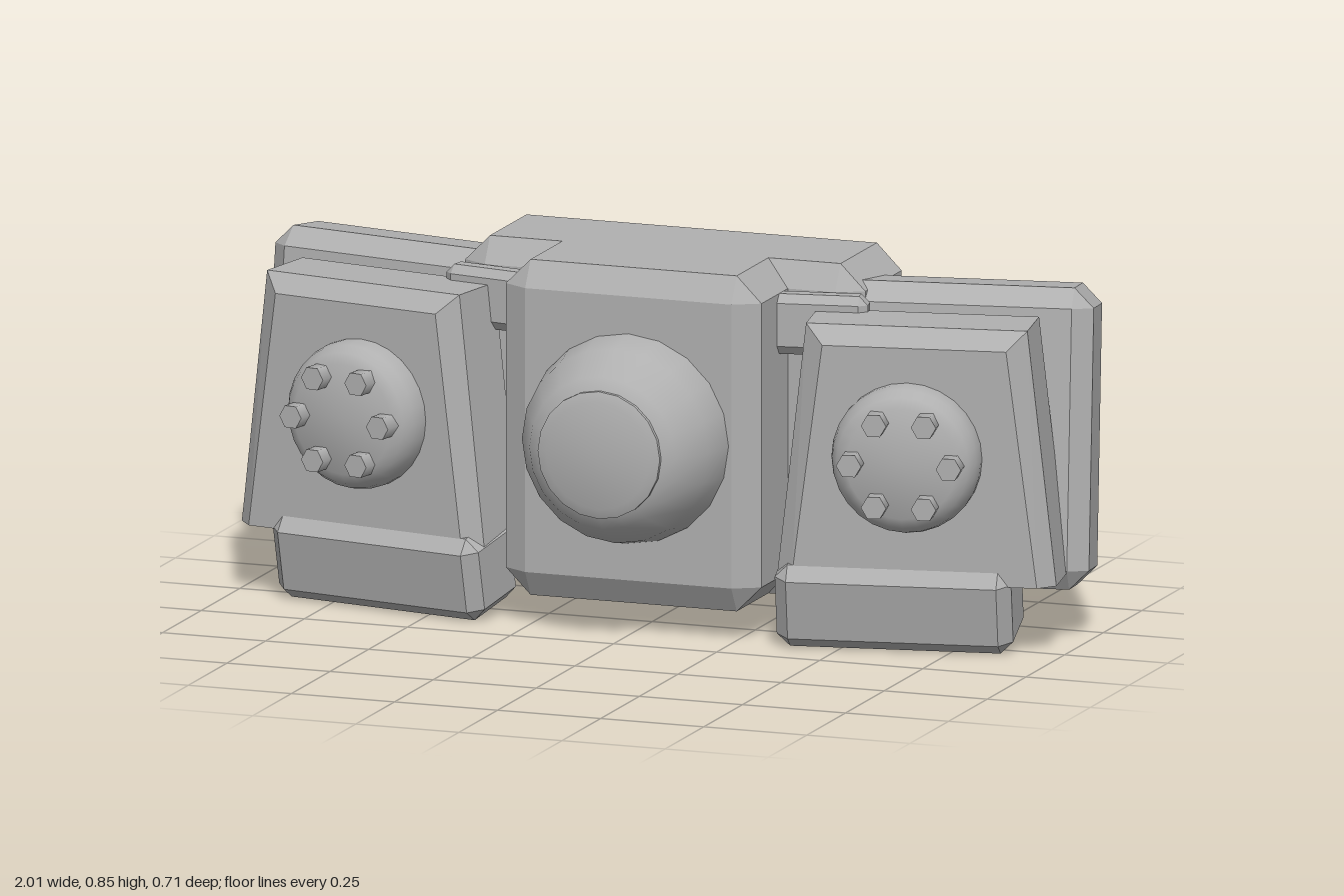
import * as THREE from 'three';
import { toCreasedNormals } from 'three/addons/utils/BufferGeometryUtils.js';
import { ConvexGeometry } from 'three/addons/geometries/ConvexGeometry.js';

const YAW = 0.185; // outward turn of the side assemblies
const SIGNS = [-1, 1];

// Box of size w, h, d whose edges are cut back by cx, cy, cz
function chamferBox(w, h, d, cx, cy, cz) {
  const pts = [];
  const [x, y, z] = [w / 2, h / 2, d / 2];
  for (const i of SIGNS) for (const j of SIGNS) for (const k of SIGNS) {
    pts.push(
      new THREE.Vector3(i * x, j * (y - cy), k * (z - cz)),
      new THREE.Vector3(i * (x - cx), j * y, k * (z - cz)),
      new THREE.Vector3(i * (x - cx), j * (y - cy), k * z));
  }
  return new ConvexGeometry(pts);
}

// Tapered panel with a bevelled front; rings are [topHalf, bottomHalf, topY, bottomY, z]
function taperedPanel(rings) {
  const pts = [];
  for (const [t, b, ty, by, z] of rings) for (const s of SIGNS) {
    pts.push(new THREE.Vector3(s * t, ty, z), new THREE.Vector3(s * b, by, z));
  }
  return new ConvexGeometry(pts);
}

// Turned part with its axis along z; profile is [radius, z]
function turned(profile, segments) {
  const geo = new THREE.LatheGeometry(profile.map(([r, z]) => new THREE.Vector2(r, z)), segments);
  return toCreasedNormals(geo.rotateX(Math.PI / 2), 0.75);
}

export function createModel() {
  const model = new THREE.Group();
  model.name = 'model';
  const grey = new THREE.MeshStandardMaterial({ color: 0xb0b0b0 });
  grey.name = 'grey';

  function add(parent, name, geo, x, y, z, yaw = 0, pitch = 0) {
    const mesh = new THREE.Mesh(geo, grey);
    mesh.name = name;
    mesh.position.set(x, y, z);
    mesh.rotation.set(pitch, yaw, 0, 'YXZ');
    parent.add(mesh);
    return mesh;
  }

  // Central body
  add(model, 'rearBody', chamferBox(0.97, 0.78, 0.305, 0.06, 0.06, 0.035), 0, 0.46, -0.2025);
  add(model, 'frontBody', chamferBox(0.62, 0.78, 0.305, 0.06, 0.06, 0.035), 0, 0.46, 0.0025);
  add(model, 'centreDome', turned([
    [0.245, 0.13], [0.243, 0.16], [0.226, 0.24], [0.177, 0.322], [0.148, 0.336],
    [0.148, 0.346], [0.125, 0.355], [0, 0.355],
  ], 20), 0, 0.46, 0);

  // Shared side geometry
  const wingGeo = chamferBox(0.59, 0.69, 0.18, 0.045, 0.045, 0.035);
  const panelGeo = taperedPanel([
    [0.255, 0.322, 0.755, 0.165, -0.095],
    [0.255, 0.322, 0.755, 0.165, 0.06],
    [0.212, 0.283, 0.712, 0.165, 0.095],
  ]);
  const footGeo = chamferBox(0.545, 0.2, 0.2, 0.03, 0.03, 0.03);
  const armGeo = chamferBox(0.24, 0.14, 0.06, 0.02, 0.02, 0.015);
  const discGeo = turned([
    [0.172, 0.085], [0.172, 0.115], [0.166, 0.14], [0.152, 0.163], [0.128, 0.177], [0, 0.177],
  ], 28);
  const boltGeo = new THREE.CylinderGeometry(0.029, 0.029, 0.05, 6)
    .rotateX(Math.PI / 2).rotateZ(Math.PI / 6).toNonIndexed();

  // Mirrored side assemblies
  for (const s of SIGNS) {
    const side = new THREE.Group();
    side.name = s > 0 ? 'leftSide' : 'rightSide';
    model.add(side);
    add(side, 'rearWing', wingGeo, s * 0.698, 0.46, -0.178, s * YAW, -0.105);
    add(side, 'connectorArm', armGeo, s * 0.39, 0.72, -0.025, s * YAW);
    add(side, 'foot', footGeo, s * 0.612, 0.114, 0.035, s * YAW, 0.2);

    // Front panel with its round plate and ring of bolts
    const unit = new THREE.Group();
    unit.name = 'panelUnit';
    unit.position.set(s * 0.66, 0, 0.02);
    unit.rotation.y = s * YAW;
    side.add(unit);
    add(unit, 'frontPanel', panelGeo, 0, 0, 0);
    add(unit, 'roundPlate', discGeo, s * -0.015, 0.46, 0);
    for (let i = 0; i < 6; i++) {
      const a = i * Math.PI / 3;
      add(unit, 'bolt', boltGeo, s * -0.015 + 0.115 * Math.cos(a), 0.46 + 0.11 * Math.sin(a), 0.19);
    }
  }
  return model;
}
